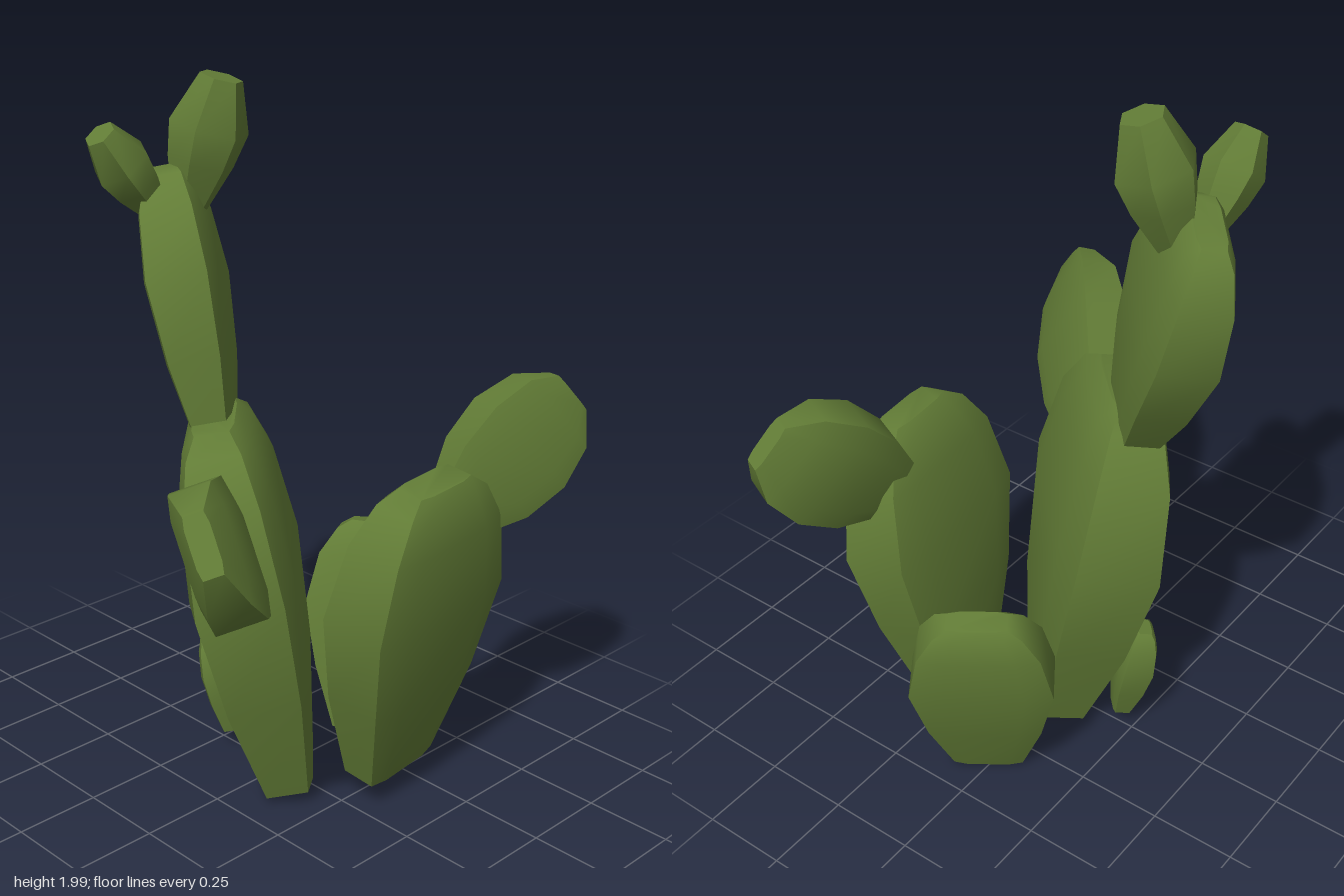
import * as THREE from 'three';
import { toCreasedNormals } from 'three/addons/utils/BufferGeometryUtils.js';

const GREEN = 0x627c36;
const V = (a) => new THREE.Vector3(...a);

// Flat pad section (x across the pad, z through it) and round bud section
const PAD_SECTION = [[1, -0.41], [0.6, -0.5], [-0.6, -0.5], [-1, -0.41],
  [-1, 0.41], [-0.6, 0.5], [0.6, 0.5], [1, 0.41]];
const BUD_SECTION = Array.from({ length: 6 }, (_, i) => {
  const a = (i * Math.PI) / 3;
  return [Math.cos(a), -Math.sin(a) / 2];
});

// Levels: [height, width factor, thickness factor]
const PAD_LEVELS = [[0, 0.5, 0.5], [0.3, 0.8, 0.85], [0.6, 1, 1],
  [0.84, 0.84, 0.85], [0.96, 0.6, 0.62], [1, 0.4, 0.4]];
const ARM_LEVELS = [[0, 0.6, 0.6], [0.25, 0.9, 0.9], [0.55, 1, 1],
  [0.83, 0.83, 0.8], [1, 0.42, 0.38]];
const BUD_LEVELS = [[0, 0.45, 0.45], [0.35, 0.83, 0.83], [0.62, 1, 1], [1, 0.54, 0.54]];

// Lofts a section through levels into a closed solid from y = 0 to y = length
function loft(section, levels, length, halfWidth, thickness) {
  const n = section.length;
  const pos = [];
  const index = [];
  for (const [h, w, t] of levels) {
    for (const [x, z] of section) pos.push(x * w * halfWidth, h * length, z * t * thickness);
  }
  for (let i = 0; i < levels.length - 1; i++) {
    for (let j = 0; j < n; j++) {
      const a = i * n + j;
      const b = i * n + ((j + 1) % n);
      index.push(a, b, b + n, a, b + n, a + n);
    }
  }
  const top = (levels.length - 1) * n;
  for (let j = 1; j < n - 1; j++) {
    index.push(0, j + 1, j, top, top + j, top + j + 1);
  }
  const geo = new THREE.BufferGeometry();
  geo.setAttribute('position', new THREE.Float32BufferAttribute(pos, 3));
  geo.setIndex(index);
  return toCreasedNormals(geo, 0.6);
}

// Places a lofted solid from base to tip, its width following the across direction
function grow(name, section, levels, base, tip, across, halfWidth, thickness) {
  const start = V(base);
  const axis = V(tip).sub(start);
  const length = axis.length();
  axis.normalize();
  const x = V(across);
  x.addScaledVector(axis, -x.dot(axis)).normalize();
  const z = new THREE.Vector3().crossVectors(x, axis);
  const mesh = new THREE.Mesh(
    loft(section, levels, length, halfWidth, thickness),
    new THREE.MeshStandardMaterial({ color: GREEN })
  );
  mesh.name = name;
  mesh.quaternion.setFromRotationMatrix(new THREE.Matrix4().makeBasis(x, axis, z));
  mesh.position.copy(start);
  return mesh;
}

export function createModel() {
  const cactus = new THREE.Group();
  cactus.name = 'cactus';

  const pad = (name, ...rest) => cactus.add(grow(name, PAD_SECTION, PAD_LEVELS, ...rest));
  const arm = (name, ...rest) => cactus.add(grow(name, PAD_SECTION, ARM_LEVELS, ...rest));
  const bud = (name, base, tip, across, r) =>
    cactus.add(grow(name, BUD_SECTION, BUD_LEVELS, base, tip, across, r, r * 2));

  // Pads rising from the ground
  pad('mainPad', [0.038, 0.035, 0.005], [-0.1, 1.11, 0.15], [1, 0, 1], 0.34, 0.29);
  pad('sidePad', [0.28, 0.09, -0.16], [0.42, 0.985, -0.16], [0.1, 0, 1], 0.28, 0.235);
  pad('backPad', [0.025, 0.015, -0.34], [-0.045, 0.645, -0.455], [0.82, 0, -0.57], 0.2, 0.17);
  pad('smallPad', [-0.2, 0.065, 0.01], [-0.255, 0.38, 0.04], [1, 0, 1], 0.075, 0.105);

  // Pads growing from the larger ones
  pad('upperPad', [-0.145, 1.02, 0.1], [-0.385, 1.73, 0.055], [1, 0, 1], 0.235, 0.2);
  arm('frontArmPad', [0.13, 0.79, 0.29], [0.445, 1.065, 0.67], [-0.53, 0.78, -0.09], 0.185, 0.165);
  arm('backArmPad', [0.365, 0.85, -0.33], [0.465, 1.13, -0.66], [-0.28, 0.8, 0.45], 0.165, 0.155);

  // Buds on top
  bud('tallBud', [-0.295, 1.64, 0.055], [-0.222, 1.985, 0], [1, 0, 0], 0.11);
  bud('shortBud', [-0.32, 1.64, 0.155], [-0.335, 1.86, 0.32], [0, -0.6, 0.8], 0.083);

  return cactus;
}
